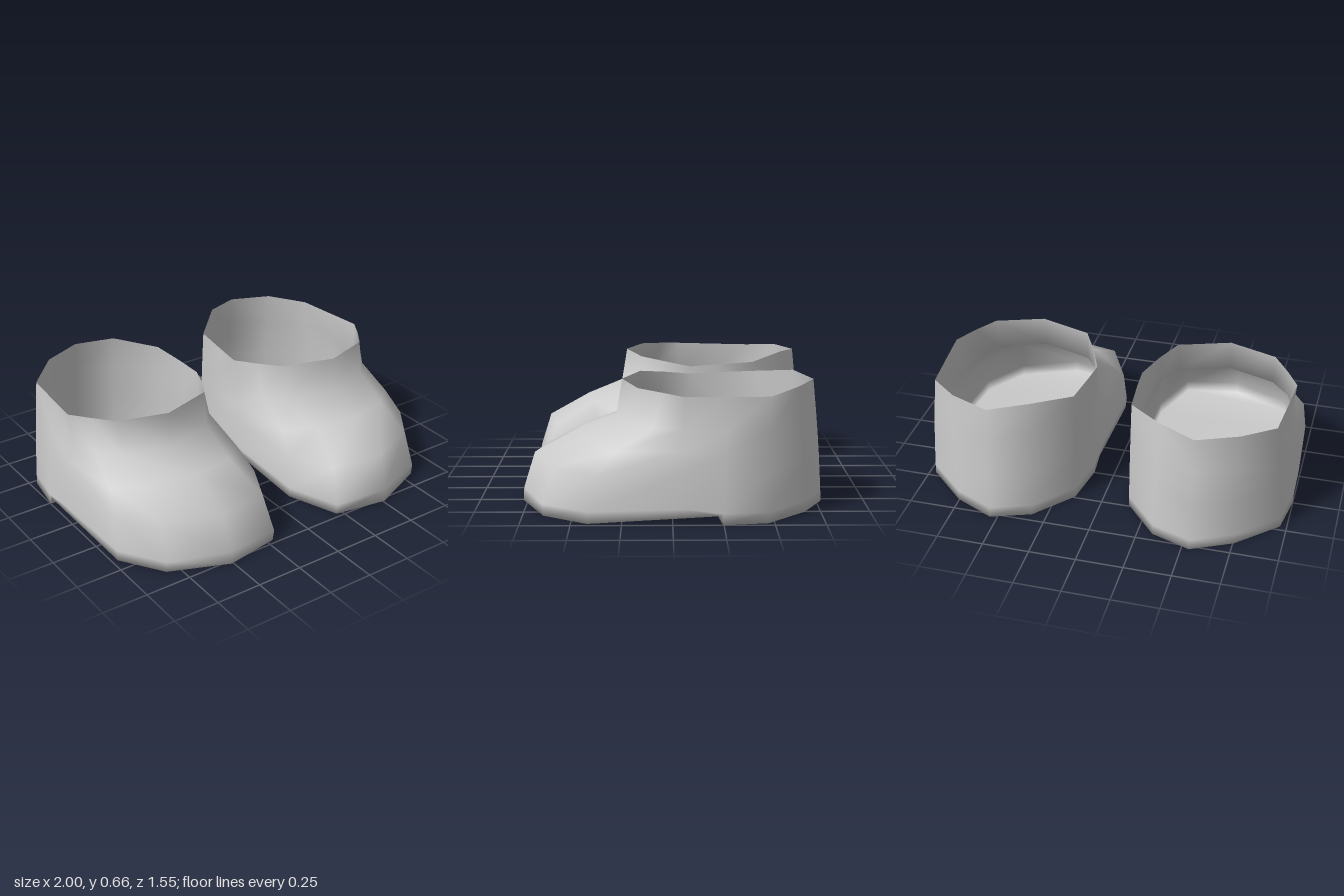
import * as THREE from 'three';

const N = 14; // columns: 0 = back, then along the inner side to 7 = toe, and back along the outer side

// outline of the sole edge, [x, y, z]; the arch is lifted just ahead of the heel
const SOLE = [
  [0.54, 0, -0.775], [0.33, 0, -0.70], [0.15, 0, -0.49], [0.11, 0, -0.245],
  [0.11, 0.045, -0.22], [0.11, 0, 0.44], [0.215, 0, 0.725], [0.51, 0, 0.775],
  [0.82, 0, 0.645], [0.97, 0, 0.42], [1.0, 0.045, -0.22],
  [1.0, 0, -0.245], [0.965, 0, -0.47], [0.755, 0, -0.67],
];

// outline of the open ankle collar
const COLLAR = [
  [0.54, 0.645, -0.725], [0.34, 0.66, -0.64], [0.155, 0.625, -0.46], [0.135, 0.615, -0.26],
  [0.125, 0.605, -0.11], [0.185, 0.625, 0.03], [0.26, 0.643, 0.165], [0.54, 0.647, 0.255],
  [0.80, 0.643, 0.17], [0.885, 0.635, 0.05], [0.953, 0.625, -0.06],
  [0.935, 0.622, -0.27], [0.915, 0.62, -0.48], [0.755, 0.645, -0.635],
];

// front half (columns 4 to 10) of the rings between sole and collar
const FRONT = [
  [[0.107, 0.08, -0.06], [0.105, 0.06, 0.45], [0.21, 0.06, 0.73], [0.51, 0.07, 0.77],
    [0.82, 0.06, 0.65], [0.972, 0.06, 0.42], [1.0, 0.08, -0.06]],
  [[0.113, 0.25, -0.03], [0.115, 0.235, 0.42], [0.235, 0.25, 0.66], [0.52, 0.26, 0.71],
    [0.80, 0.25, 0.59], [0.955, 0.235, 0.38], [0.985, 0.25, -0.03]],
  [[0.125, 0.36, -0.05], [0.15, 0.345, 0.31], [0.29, 0.375, 0.445], [0.53, 0.387, 0.48],
    [0.77, 0.375, 0.41], [0.92, 0.345, 0.28], [0.97, 0.36, -0.03]],
  [[0.14, 0.46, -0.08], [0.18, 0.455, 0.09], [0.27, 0.46, 0.20], [0.54, 0.465, 0.285],
    [0.79, 0.46, 0.205], [0.89, 0.455, 0.10], [0.937, 0.46, -0.05]],
];
const REAR_T = [0.09, 0.4, 0.57, 0.73]; // how far each ring climbs the heel

function rings() {
  const mid = FRONT.map((front, r) => SOLE.map((p, i) => {
    if (i >= 4 && i <= 10) return front[i - 4];
    const t = REAR_T[r], lean = t ** 1.4, q = COLLAR[i];
    return [p[0] + (q[0] - p[0]) * lean, p[1] + (q[1] - p[1]) * t, p[2] + (q[2] - p[2]) * lean];
  }));
  return [SOLE, ...mid, COLLAR];
}

function shoeGeometry(side) {
  const loops = rings();
  const index = [];
  const tri = (a, b, c) => (side > 0 ? index.push(a, b, c) : index.push(a, c, b));
  const quad = (a, b, c, d) => { tri(a, b, c); tri(a, c, d); };

  // walls
  for (let r = 0; r < loops.length - 1; r++) {
    for (let i = 0; i < N; i++) {
      const j = (i + 1) % N;
      quad(r * N + i, r * N + j, (r + 1) * N + j, (r + 1) * N + i);
    }
  }
  // sole, heel step and arch: strips from the inner to the outer edge
  tri(0, 13, 1);
  for (let i = 1; i < 6; i++) quad(i, N - i, N - i - 1, i + 1);
  tri(6, 8, 7);

  const geo = new THREE.BufferGeometry();
  const pos = loops.flat().flatMap(([x, y, z]) => [side * x, y, z]);
  geo.setAttribute('position', new THREE.Float32BufferAttribute(pos, 3));
  geo.setIndex(index);
  geo.computeVertexNormals();
  return geo;
}

export function createModel() {
  const model = new THREE.Group();
  model.name = 'shoes';
  const material = new THREE.MeshStandardMaterial({ color: 0xcccccc, side: THREE.DoubleSide });
  for (const [name, side] of [['leftShoe', 1], ['rightShoe', -1]]) {
    const shoe = new THREE.Mesh(shoeGeometry(side), material);
    shoe.name = name;
    model.add(shoe);
  }
  return model;
}
